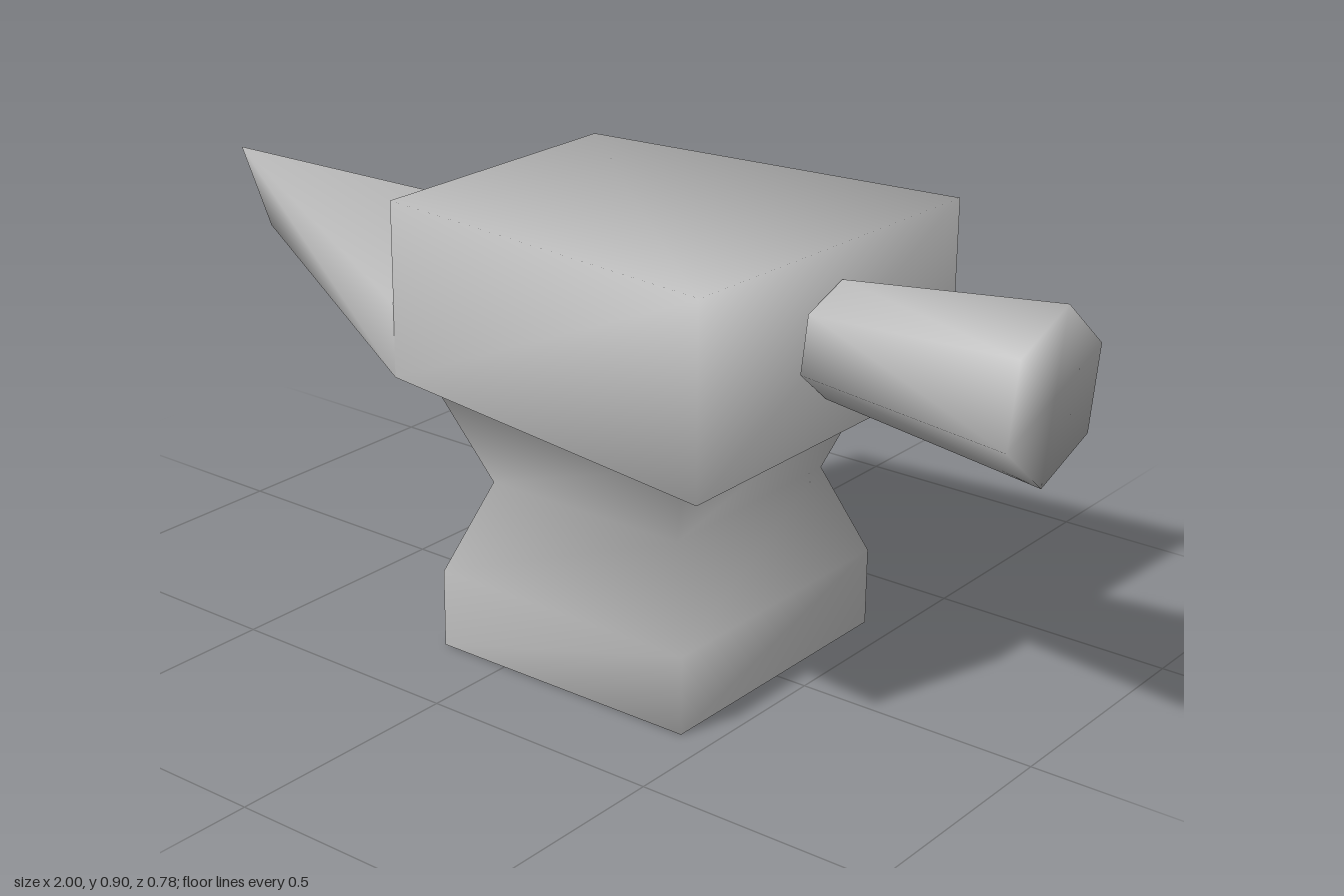
import * as THREE from 'three';

const iron = new THREE.MeshStandardMaterial({ color: 0xbcbcbc, side: THREE.DoubleSide });
iron.name = 'iron grey';

// Smooth mesh from shared corners and faces
function smoothMesh(name, points, index) {
  const geo = new THREE.BufferGeometry();
  geo.setAttribute('position', new THREE.Float32BufferAttribute(points.flat(), 3));
  geo.setIndex(index);
  geo.computeVertexNormals();
  const mesh = new THREE.Mesh(geo, iron);
  mesh.name = name;
  return mesh;
}

// Skin a series of equal rings; an optional list of faces closes the last ring
function loft(name, rings, centre = null, flatCap = false) {
  const n = rings[0].length;
  const points = rings.flat();
  const index = [];
  for (let r = 0; r < rings.length - 1; r++) {
    for (let i = 0; i < n; i++) {
      const a = r * n + i, b = r * n + (i + 1) % n;
      index.push(a, b, b + n, a, b + n, a + n);
    }
  }
  const last = (rings.length - 1) * n;
  if (flatCap) for (let i = 1; i < n - 1; i++) index.push(last, last + i, last + i + 1);
  if (centre) {
    points.push(centre);
    for (let i = 0; i < n; i++) index.push(last + i, last + (i + 1) % n, points.length - 1);
  }
  return smoothMesh(name, points, index);
}

export function createModel() {
  const anvil = new THREE.Group();
  anvil.name = 'anvil';

  // Pedestal with a narrow waist
  const pedestalRing = ([y, x0, x1, z]) => [[x1, y, z], [x1, y, -z], [x0, y, -z], [x0, y, z]];
  anvil.add(loft('pedestal', [
    [0, -0.155, 0.435, 0.305],
    [0.16, -0.155, 0.435, 0.305],
    [0.345, -0.085, 0.365, 0.232],
    [0.535, -0.155, 0.435, 0.305],
  ].map(pedestalRing)));

  // Body, slightly skewed at the heel end, and its flat underside
  const under = [[0.525, 0.515, 0.387], [0.555, 0.535, -0.39], [-0.27, 0.54, -0.305], [-0.27, 0.54, 0.305]];
  const face = under.map(([x, , z]) => [x, 0.897, z]);
  anvil.add(loft('body', [under, face], null, true));
  anvil.add(smoothMesh('bodyUnderside', under, [0, 2, 1, 0, 3, 2]));

  // Horn, tapering to an upright slanted edge and open below
  anvil.add(smoothMesh('horn', [
    [-0.27, 0.54, -0.305], [-0.27, 0.69, -0.305],
    [-0.27, 0.69, 0.305], [-0.27, 0.54, 0.305],
    [-1, 0.805, 0], [-0.92, 0.645, 0],
  ], [1, 4, 2, 3, 2, 4, 3, 4, 5, 0, 4, 1, 0, 5, 4]));

  // Six-sided flared heel
  const hexRing = (x, radius) => Array.from({ length: 6 }, (_, i) => {
    const a = (i * 60 - 10) * Math.PI / 180;
    return [x, 0.719 + radius * Math.cos(a), radius * Math.sin(a) + 0.002];
  });
  anvil.add(loft('heel', [hexRing(0.543, 0.112), hexRing(1, 0.164)], [1, 0.719, 0.002]));

  return anvil;
}
